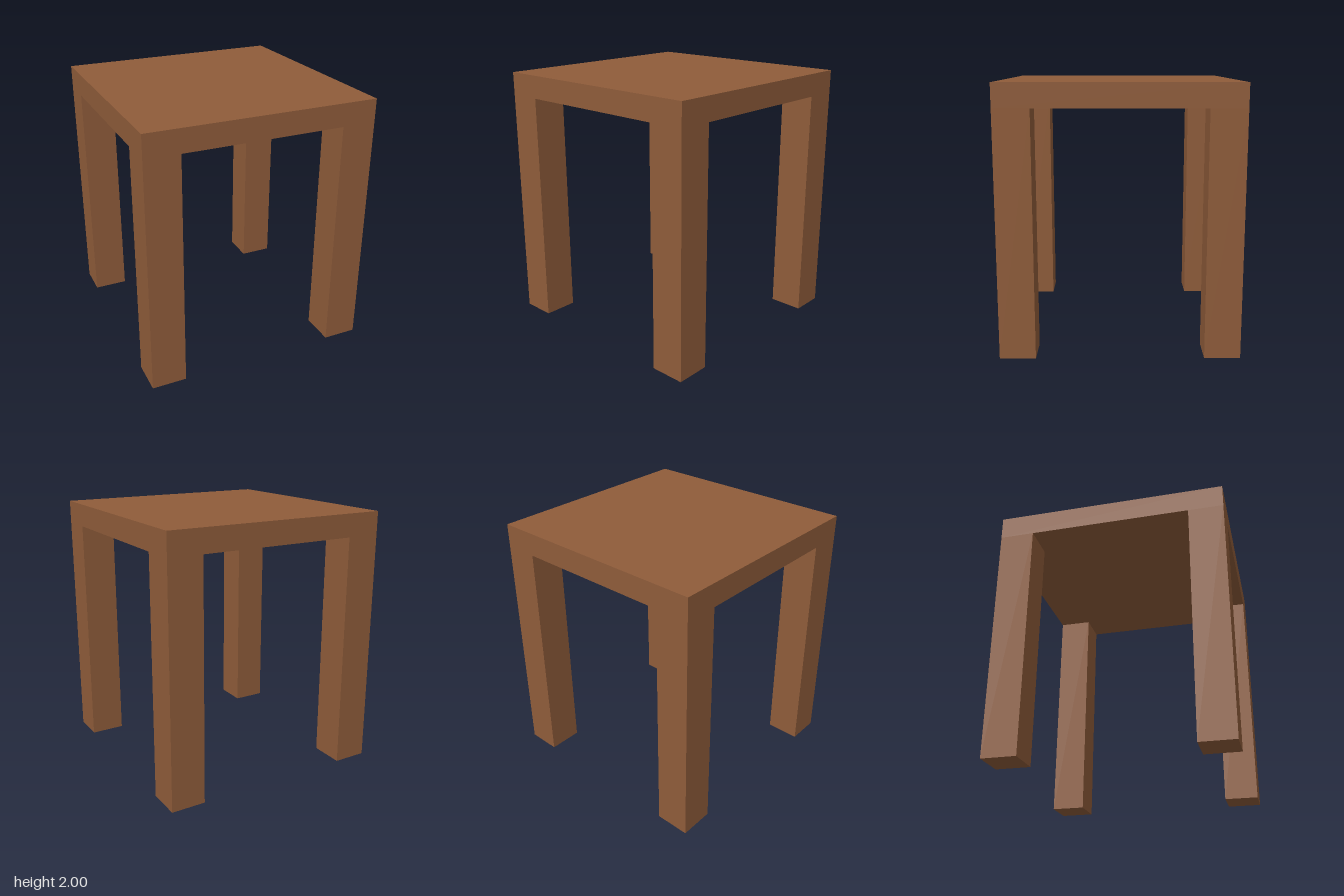
import * as THREE from 'three';

const WIDTH = 1.765;      // square tabletop side
const HEIGHT = 2;
const SLAB = 0.176;       // tabletop thickness
const LEG = 0.265;        // square leg side

export function createModel() {
  const group = new THREE.Group();
  group.name = 'table';
  const wood = new THREE.MeshStandardMaterial({ color: 0x8f5c3a });
  wood.name = 'brown wood';

  // Tabletop slab
  const top = new THREE.Mesh(new THREE.BoxGeometry(WIDTH, SLAB, WIDTH), wood);
  top.name = 'tabletop';
  top.position.y = HEIGHT - SLAB / 2;
  group.add(top);

  // Four legs, flush with the tabletop corners
  const legHeight = HEIGHT - SLAB;
  const legGeometry = new THREE.BoxGeometry(LEG, legHeight, LEG);
  const offset = (WIDTH - LEG) / 2;
  for (const [sx, side] of [[1, 'Left'], [-1, 'Right']]) {
    for (const [sz, end] of [[1, 'front'], [-1, 'back']]) {
      const leg = new THREE.Mesh(legGeometry, wood);
      leg.name = `${end}${side}Leg`;
      leg.position.set(sx * offset, legHeight / 2, sz * offset);
      group.add(leg);
    }
  }
  return group;
}
